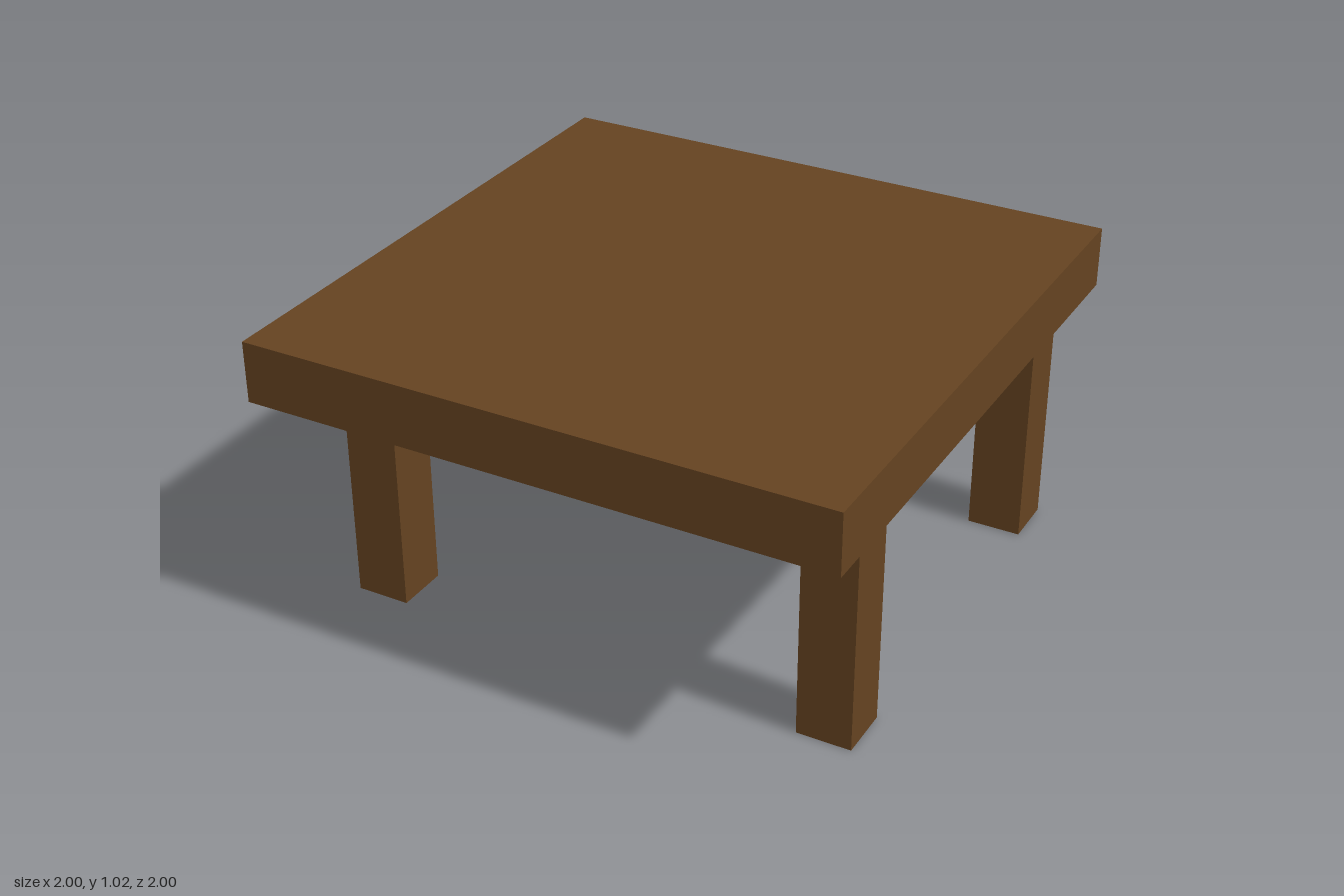
import * as THREE from 'three';

// Thin-walled box standing on y = bottom, with its underside left open
function openBox(width, height, depth, bottom) {
  const geometry = new THREE.BoxGeometry(width, height, depth);
  const index = Array.from(geometry.index.array);
  index.splice(18, 6); // drop the downward face
  geometry.setIndex(index);
  geometry.clearGroups();
  geometry.translate(0, bottom + height / 2, 0);
  return geometry;
}

export function createModel() {
  const table = new THREE.Group();
  table.name = 'table';

  const wood = new THREE.MeshStandardMaterial({ color: 0x654321, side: THREE.DoubleSide });
  wood.name = 'dark brown wood';

  // Square top with a deep apron, hollow underneath
  const top = new THREE.Mesh(openBox(2, 0.208, 2, 0.817), wood);
  top.name = 'tableTop';
  table.add(top);

  // Four hollow square legs reaching up to the underside of the top
  const legGeometry = openBox(0.184, 1.022, 0.184, 0);
  for (const [side, x] of [['Right', -0.774], ['Left', 0.833]]) {
    for (const [end, z] of [['front', 0.617], ['back', -0.731]]) {
      const leg = new THREE.Mesh(legGeometry, wood);
      leg.name = `${end}${side}Leg`;
      leg.position.set(x, 0, z);
      table.add(leg);
    }
  }

  return table;
}
